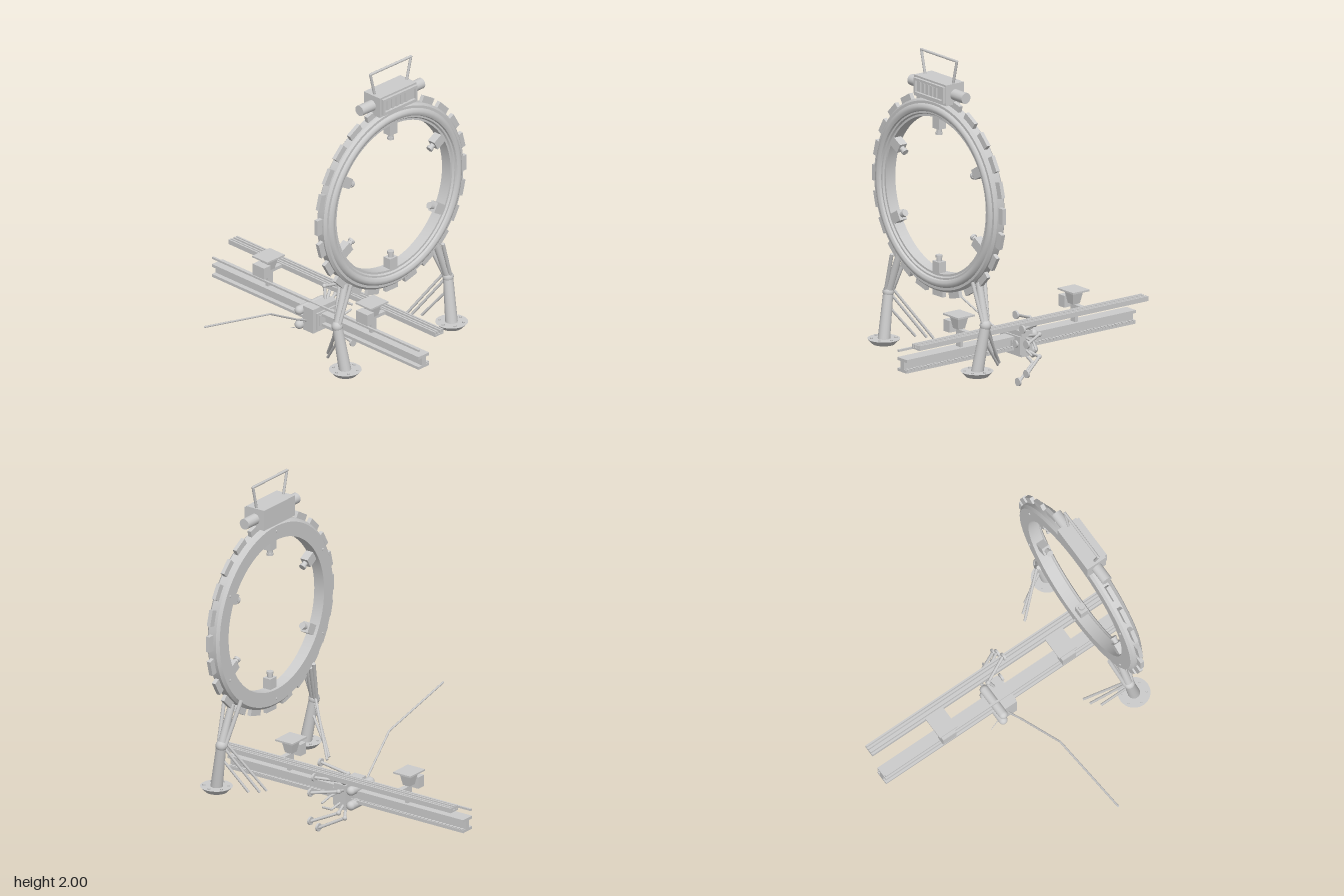
import * as THREE from 'three';
import { toCreasedNormals } from 'three/addons/utils/BufferGeometryUtils.js';

const grey = new THREE.MeshStandardMaterial({ color: 0xcccccc });
grey.name = 'light grey';
const V = (x, y, z) => new THREE.Vector3(x, y, z);

function add(parent, name, geometry, x = 0, y = 0, z = 0) {
  const mesh = new THREE.Mesh(geometry, grey);
  mesh.name = name;
  mesh.position.set(x, y, z);
  parent.add(mesh);
  return mesh;
}

function group(parent, name) {
  const g = new THREE.Group();
  g.name = name;
  parent.add(g);
  return g;
}

// Box given by its limits on each axis
function box(parent, name, x0, x1, y0, y1, z0, z1) {
  return add(parent, name, new THREE.BoxGeometry(x1 - x0, y1 - y0, z1 - z0),
    (x0 + x1) / 2, (y0 + y1) / 2, (z0 + z1) / 2);
}

// Straight round bar from a to b
function rod(parent, name, a, b, r0, r1 = r0, sides = 12) {
  const dir = b.clone().sub(a);
  const mesh = add(parent, name, new THREE.CylinderGeometry(r1, r0, dir.length(), sides));
  mesh.position.copy(a).addScaledVector(dir, 0.5);
  mesh.quaternion.setFromUnitVectors(V(0, 1, 0), dir.normalize());
  return mesh;
}

// Bent bar through several points with round joints
function bentRod(parent, name, points, r) {
  const g = group(parent, name);
  points.forEach((p, i) => {
    if (i > 0) rod(g, name + 'Segment', points[i - 1], p, r, r, 8);
    add(g, name + 'Joint', new THREE.SphereGeometry(r, 8, 6), p.x, p.y, p.z);
  });
  return g;
}

const CX = 0.212, CY = 1.174, CZ = 0.557;

function buildRing(root) {
  const ring = group(root, 'ring');
  ring.position.set(CX, CY, CZ);

  // Flat-backed hoop with a stepped, rounded front
  const profile = [[0.455, -0.045], [0.54, -0.045], [0.556, -0.03], [0.558, 0.022], [0.545, 0.036],
    [0.53, 0.036], [0.525, 0.045], [0.513, 0.052], [0.5, 0.052], [0.488, 0.045], [0.484, 0.034],
    [0.474, 0.034], [0.467, 0.024], [0.455, 0.024], [0.455, -0.045]];
  const hoop = new THREE.LatheGeometry(profile.map(p => new THREE.Vector2(...p)), 72);
  hoop.rotateX(Math.PI / 2);
  add(ring, 'hoop', toCreasedNormals(hoop, 0.6));

  // Lugs around the rim
  for (let i = 0; i < 24; i++) {
    const spoke = group(ring, 'rimLug');
    spoke.rotation.z = i * Math.PI / 12;
    box(spoke, 'lug', 0.54, 0.594, -0.047, 0.047, -0.012, 0.012);
  }

  // Inward-pointing emitters and the bolts behind them
  for (let i = 0; i < 6; i++) {
    const spoke = group(ring, 'emitter');
    spoke.rotation.z = Math.PI / 6 + i * Math.PI / 3;
    box(spoke, 'emitterBlock', 0.39, 0.47, -0.03, 0.03, -0.025, 0.025);
    rod(spoke, 'emitterNozzle', V(0.395, 0, 0), V(0.365, 0, 0), 0.016);
    rod(spoke, 'emitterTip', V(0.368, 0, 0), V(0.354, 0, 0), 0.02);
    rod(spoke, 'backBolt', V(0.51, 0, -0.04), V(0.51, 0, -0.052), 0.007, 0.007, 8);
  }
}

function buildControlBox(root) {
  const unit = group(root, 'controlBox');
  box(unit, 'housing', 0.063, 0.355, 1.735, 1.857, 0.492, 0.62);
  rod(unit, 'crossCylinder', V(-0.037, 1.793, CZ), V(0.457, 1.793, CZ), 0.032, 0.032, 16);
  // Raised frame with vertical grille bars
  box(unit, 'frameTop', 0.077, 0.349, 1.832, 1.846, 0.615, 0.636);
  box(unit, 'frameBottom', 0.077, 0.349, 1.75, 1.764, 0.615, 0.636);
  box(unit, 'frameLeft', 0.335, 0.349, 1.764, 1.832, 0.615, 0.636);
  box(unit, 'frameRight', 0.077, 0.091, 1.764, 1.832, 0.615, 0.636);
  for (let i = 0; i < 5; i++) {
    const x = 0.115 + i * 0.036;
    box(unit, 'grilleBar', x, x + 0.016, 1.768, 1.828, 0.615, 0.63);
  }
  bentRod(unit, 'handle', [V(0.085, 1.85, CZ), V(0.05, 1.991, CZ),
    V(0.374, 1.991, CZ), V(0.339, 1.85, CZ)], 0.008);
}

// One stand; side is -1 or 1 and mirrors it about the ring's centre
function buildStand(root, side) {
  const stand = group(root, side < 0 ? 'rightStand' : 'leftStand');
  const P = (d, y, z) => V(CX + side * d, y, z);
  const foot = P(0.424, 0.23, 0.62), knee = P(0.442, 0.506, 0.573);
  add(stand, 'footDisc', new THREE.CylinderGeometry(0.093, 0.065, 0.03, 32), foot.x, foot.y, foot.z);
  for (let i = 0; i < 6; i++) {
    const a = i * Math.PI / 3;
    add(stand, 'footBolt', new THREE.CylinderGeometry(0.008, 0.008, 0.008, 8),
      foot.x + 0.07 * Math.cos(a), 0.248, foot.z + 0.07 * Math.sin(a));
  }
  rod(stand, 'lowerLeg', foot, knee, 0.036, 0.029, 16);
  add(stand, 'knee', new THREE.SphereGeometry(0.033, 16, 12), knee.x, knee.y, knee.z);
  rod(stand, 'upperLeg', knee, P(0.362, 0.74, CZ), 0.025, 0.02);
  rod(stand, 'backProng', P(0.435, 0.506, 0.55), P(0.345, 0.765, 0.505), 0.012);
  rod(stand, 'innerProng', P(0.43, 0.506, 0.56), P(0.335, 0.74, 0.52), 0.011);
  rod(stand, 'frontProng', P(0.447, 0.506, 0.59), P(0.367, 0.75, 0.607), 0.011);
  // Rear bracing rods
  rod(stand, 'longBrace', P(0.425, 0.52, 0.55), P(0.288, 0.23, 0.368), 0.008, 0.008, 8);
  rod(stand, 'middleBrace', P(0.43, 0.49, 0.56), P(0.33, 0.23, 0.385), 0.008, 0.008, 8);
  rod(stand, 'shortBrace', P(0.43, 0.42, 0.575), P(0.375, 0.235, 0.43), 0.008, 0.008, 8);
}

function buildRails(root) {
  const rails = group(root, 'rails');
  const z0 = -0.827, z1 = 0.823;
  // Lower I-beam with a toothed edge
  box(rails, 'beamTopFlange', 0.168, 0.254, 0.24, 0.257, z0, z1);
  box(rails, 'beamWeb', 0.197, 0.227, 0.19, 0.245, z0, z1);
  box(rails, 'beamBottomFlange', 0.168, 0.252, 0.177, 0.194, z0, z1);
  for (let i = 0; i < 66; i++) {
    const z = z0 + 0.005 + i * 0.025;
    box(rails, 'rackTooth', 0.235, 0.257, 0.188, 0.2, z, z + 0.014);
  }
  // Upper channel rail
  box(rails, 'channelFloor', 0.3, 0.37, 0.337, 0.346, z0, z1);
  for (const x of [0.3, 0.318, 0.342, 0.36])
    box(rails, 'channelRib', x, x + 0.01, 0.342, 0.365, z0, z1);
  box(rails, 'guideBar', 0.17, 0.182, 0.289, 0.301, z0, z1);

  // Platforms standing on the beam
  for (const z of [-0.415, 0.412]) {
    const p = group(rails, 'platform');
    p.position.z = z;
    box(p, 'platformPlate', 0.138, 0.278, 0.436, 0.446, -0.06, 0.06);
    const hopper = add(p, 'platformSupport',
      new THREE.CylinderGeometry(0.055, 0.034, 0.075, 4, 1).rotateY(Math.PI / 4).toNonIndexed(), 0.21, 0.4, 0);
    hopper.geometry.computeVertexNormals();
    box(p, 'post', 0.193, 0.234, 0.25, 0.42, -0.01, 0.01);
    box(p, 'motor', 0.127, 0.18, 0.336, 0.405, -0.045, 0.045);
    box(p, 'railBracket', 0.2, 0.305, 0.34, 0.36, -0.015, 0.015);
  }
}

function buildCrawler(root) {
  const bot = group(root, 'crawler');
  box(bot, 'body', 0.112, 0.305, 0.145, 0.294, -0.042, 0.038);
  box(bot, 'frontPanel', 0.135, 0.305, 0.16, 0.265, 0.03, 0.048);
  box(bot, 'panelInset', 0.15, 0.24, 0.185, 0.25, 0.045, 0.053);
  rod(bot, 'lens', V(0.27, 0.218, 0.04), V(0.27, 0.218, 0.06), 0.021, 0.021, 20);
  for (const y of [0.172, 0.262]) {
    const tank = add(bot, 'tank', new THREE.CapsuleGeometry(0.027, 0.18, 6, 16), 0.194, y, -0.064);
    tank.rotation.z = Math.PI / 2;
  }
  rod(bot, 'antenna', V(0.13, 0.15, -0.06), V(0.11, 0.12, -0.14), 0.003, 0.002, 6);

  // Jointed arms ending in forward-facing pads: hip y, elbow x/y, pad x/y
  const arms = [[0.28, 0.28, 0.36, 0.34, 0.415], [0.27, 0.33, 0.33, 0.4, 0.342],
    [0.25, 0.37, 0.28, 0.438, 0.262], [0.18, 0.37, 0.15, 0.438, 0.09], [0.16, 0.31, 0.1, 0.362, 0.026]];
  for (const [hy, ex, ey, px, py] of arms) {
    const g = group(bot, 'arm');
    bentRod(g, 'armLink', [V(0.26, hy, -0.01), V(ex, ey, -0.04), V(px, py, 0.1)], 0.009);
    add(g, 'elbow', new THREE.SphereGeometry(0.014, 10, 8), ex, ey, -0.04);
    rod(g, 'pad', V(px, py, 0.1), V(px, py, 0.112), 0.024, 0.024, 20);
  }
  // Gripper
  bentRod(bot, 'upperClaw', [V(0.3, 0.25, 0), V(0.38, 0.245, 0.01), V(0.43, 0.215, 0.03)], 0.007);
  bentRod(bot, 'lowerClaw', [V(0.3, 0.18, 0), V(0.37, 0.16, 0.01), V(0.42, 0.185, 0.03)], 0.007);

  bentRod(root, 'cable', [V(0.13, 0.2, -0.025), V(0.01, 0.262, 0.01),
    V(-0.265, 0.417, 0.072), V(-0.803, 0.533, 0.09)], 0.006);
}

export function createModel() {
  const root = new THREE.Group();
  root.name = 'ringGateWithRails';
  buildRing(root);
  buildControlBox(root);
  for (const side of [-1, 1]) buildStand(root, side);
  buildRails(root);
  buildCrawler(root);
  return root;
}
